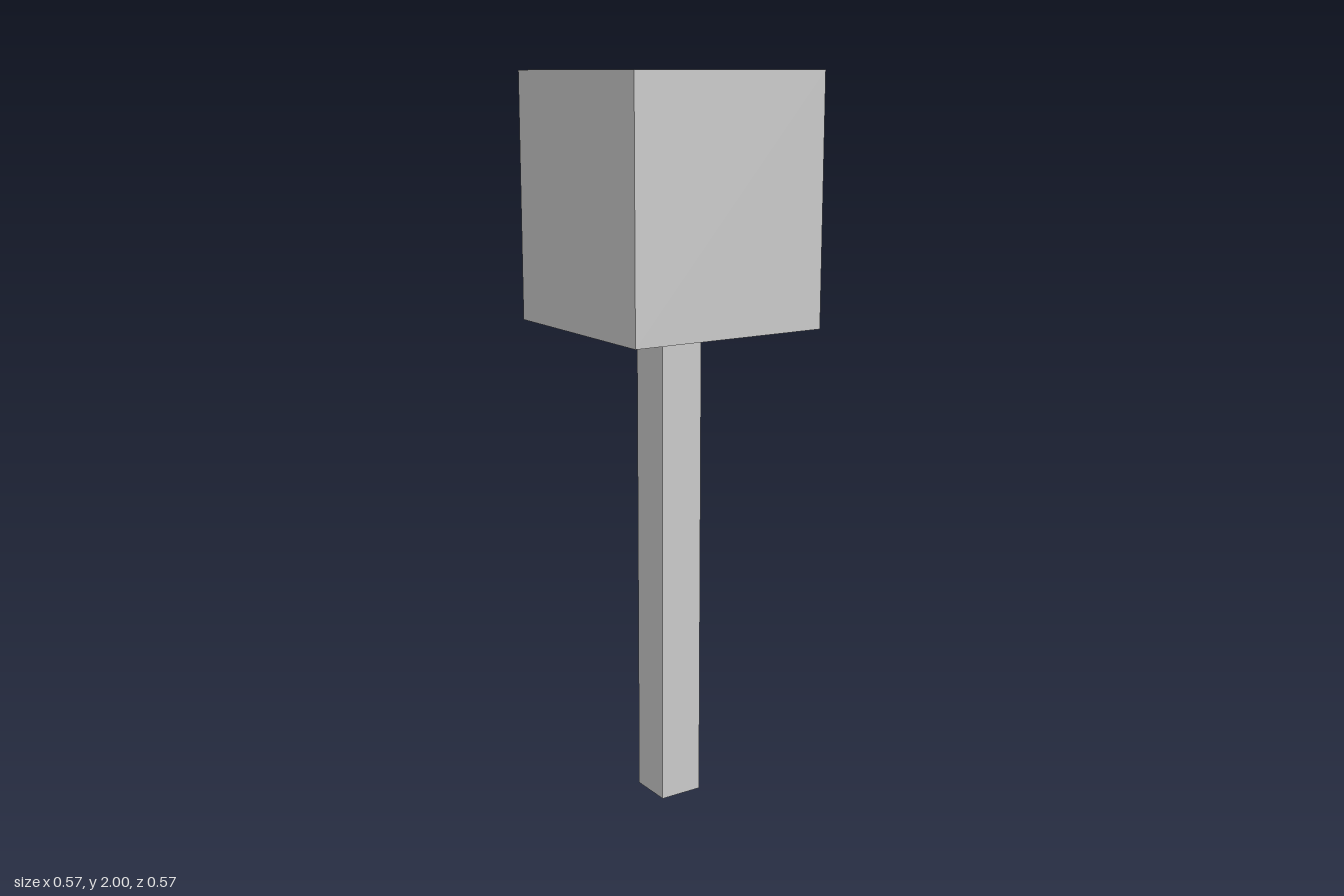
import * as THREE from 'three';

export function createModel() {
  const model = new THREE.Group();
  model.name = 'mallet';
  const material = new THREE.MeshStandardMaterial({ color: 0xcccccc, flatShading: true });

  // Square block centred on the y axis, from bottom to top
  const addBlock = (name, width, bottom, top) => {
    const mesh = new THREE.Mesh(new THREE.BoxGeometry(width, top - bottom, width), material);
    mesh.name = name;
    mesh.position.y = (bottom + top) / 2;
    model.add(mesh);
  };

  addBlock('handle', 0.124, 0, 1.338);
  addBlock('head', 0.572, 1.338, 2);

  return model;
}
